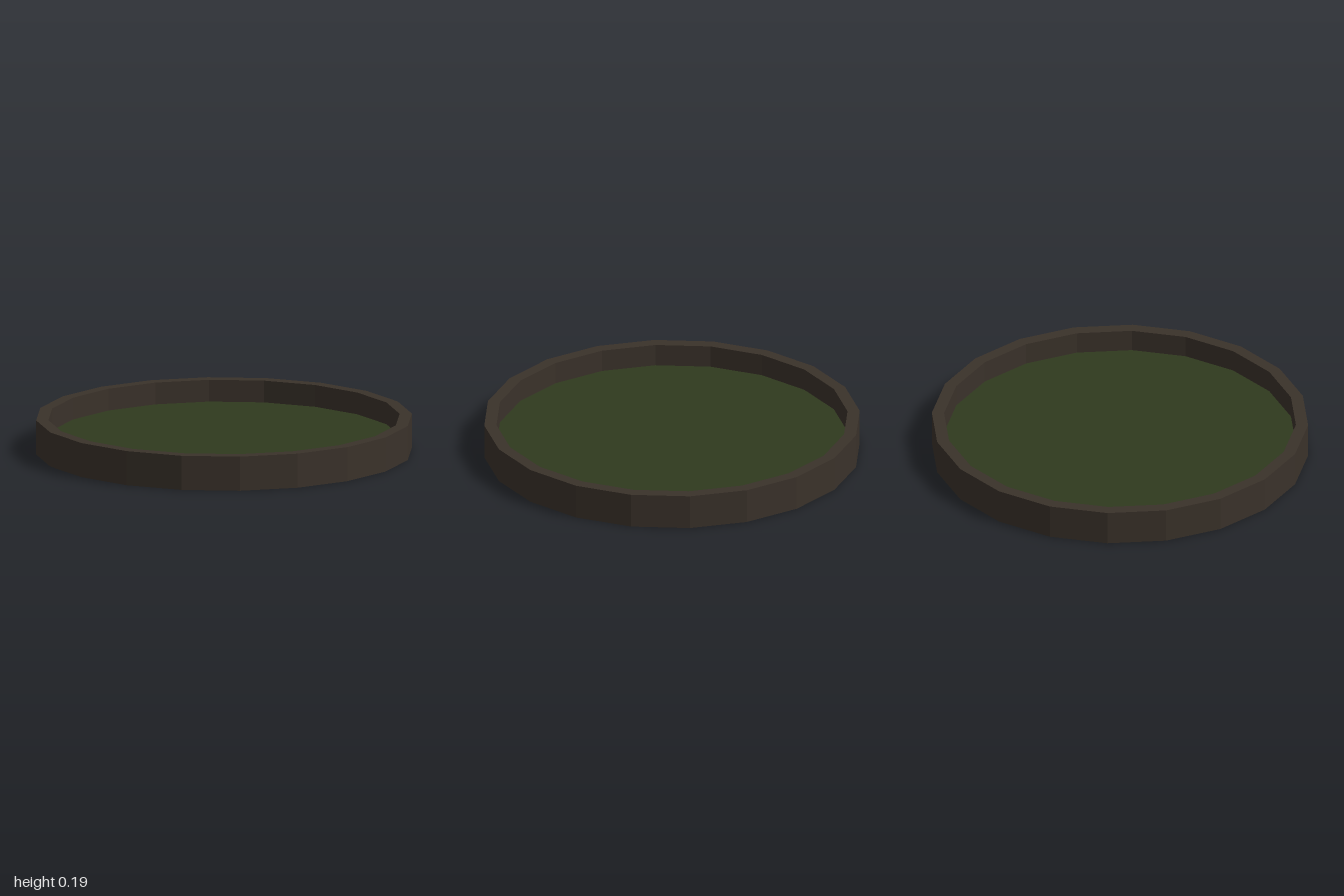
import * as THREE from 'three';

const SIDES = 20;
const OUTER = 1, INNER = 0.935, HEIGHT = 0.185, FLOOR = 0.067;

export function createModel() {
  const model = new THREE.Group();
  model.name = 'roundTray';

  // Raised ring wall: a closed rectangular section turned around y
  const section = [[OUTER, 0], [OUTER, HEIGHT], [INNER, HEIGHT], [INNER, 0], [OUTER, 0]]
    .map(([r, y]) => new THREE.Vector2(r, y));
  const rim = new THREE.Mesh(
    new THREE.LatheGeometry(section, SIDES),
    new THREE.MeshStandardMaterial({ color: 0x3a322a, flatShading: true })
  );
  rim.name = 'rim';

  // Solid floor filling the lower part of the ring
  const floor = new THREE.Mesh(
    new THREE.CylinderGeometry(INNER, INNER, FLOOR, SIDES),
    new THREE.MeshStandardMaterial({ color: 0x2f3a1e, flatShading: true })
  );
  floor.name = 'floor';
  floor.position.y = FLOOR / 2;

  model.add(rim, floor);
  return model;
}
